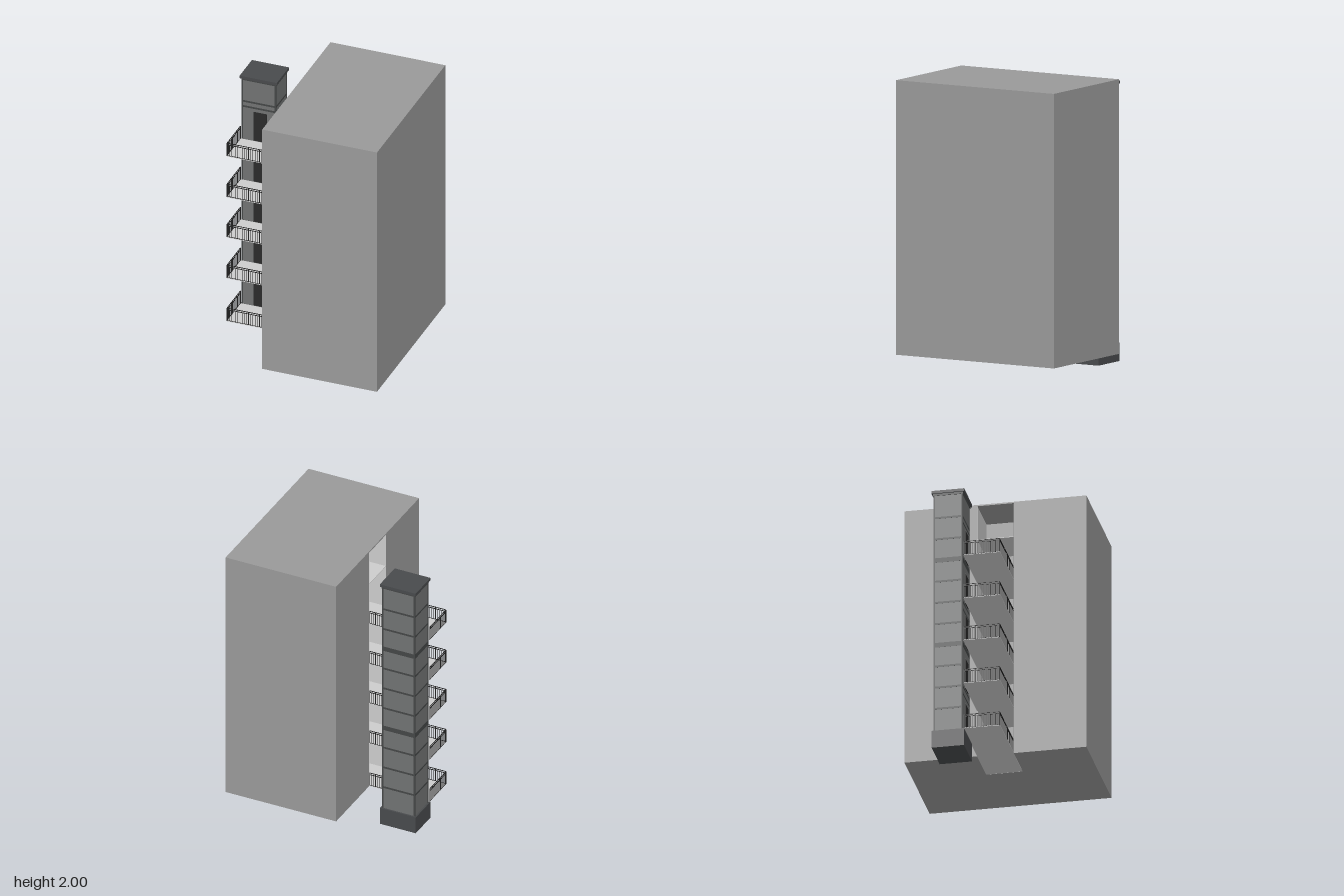
import * as THREE from 'three';

const mat = (color) => new THREE.MeshStandardMaterial({ color, flatShading: true });
const M = {
  block: mat(0x999999), light: mat(0xcccccc), wall: mat(0x707272),
  trim: mat(0x444646), base: mat(0x484a4c), door: mat(0x2a2a2a), rail: mat(0x222222),
};

// Box given by its minimum and maximum corners
function box(parent, name, m, x0, x1, y0, y1, z0, z1) {
  const mesh = new THREE.Mesh(new THREE.BoxGeometry(x1 - x0, y1 - y0, z1 - z0), m);
  mesh.position.set((x0 + x1) / 2, (y0 + y1) / 2, (z0 + z1) / 2);
  mesh.name = name;
  parent.add(mesh);
  return mesh;
}

const FLOORS = [0.128, 0.465, 0.785, 1.1, 1.42];
const FACE = -0.19, RECESS = 0.11, HALF = 0.127;

// Main building: plan with a lobby recess, closed by a roof
function building() {
  const g = new THREE.Group();
  g.name = 'building';
  const plan = new THREE.Shape([
    [FACE, -0.628], [0.645, -0.628], [0.645, 0.628], [FACE, 0.628],
    [FACE, HALF], [RECESS, HALF], [RECESS, -HALF], [FACE, -HALF],
  ].map(([x, y]) => new THREE.Vector2(x, y)));
  const geo = new THREE.ExtrudeGeometry(plan, { depth: 1.865, bevelEnabled: false });
  geo.rotateX(-Math.PI / 2);
  const walls = new THREE.Mesh(geo, M.block);
  walls.position.y = 0.125;
  walls.name = 'buildingWalls';
  g.add(walls);
  box(g, 'roof', M.block, FACE, 0.645, 1.99, 2, -0.628, 0.628);
  // Pale lobby lining and floors
  for (const s of [-1, 1]) {
    const z = s * (HALF - 0.002);
    box(g, 'lobbySideWall', M.light, FACE, RECESS, 0.126, 1.99, z - 0.001, z + 0.001);
  }
  for (const y of [...FLOORS, 1.74])
    box(g, 'lobbyFloor', M.light, FACE, RECESS, y - 0.002, y + 0.002, -HALF + 0.003, HALF - 0.003);
  return g;
}

// Railing between two plan points: balusters, taller posts and two rails
function railing(parent, ax, az, bx, bz) {
  const g = new THREE.Group();
  g.name = 'railing';
  const len = Math.hypot(bx - ax, bz - az);
  g.position.set(ax, 0, az);
  g.rotation.y = -Math.atan2(bz - az, bx - ax);
  const t = 0.0012;
  const n = Math.round(len / 0.0155);
  for (let i = 0; i <= n; i++) {
    const x = (len * i) / n, post = i % 5 === 0 || i === n;
    const w = post ? 0.002 : t;
    box(g, post ? 'post' : 'baluster', M.rail, x - w, x + w, 0, post ? 0.1 : 0.087, -w, w);
  }
  for (const y of [0.087, 0.1])
    box(g, 'handrail', M.rail, 0, len, y - 0.002, y + 0.002, -0.002, 0.002);
  box(g, 'bottomRail', M.rail, 0, len, 0.002, 0.005, -0.0015, 0.0015);
  parent.add(g);
}

// Walkway linking the tower door to the building
function walkway(y) {
  const g = new THREE.Group();
  g.name = 'walkway';
  g.position.y = y;
  const x0 = -0.645, z = 0.123;
  box(g, 'walkwaySlab', M.light, x0, FACE, -0.002, 0.002, -HALF, HALF);
  railing(g, x0, z, FACE, z);
  railing(g, x0, -z, x0, z);
  railing(g, -0.385, -z, FACE, -z);
  return g;
}

function tower() {
  const g = new THREE.Group();
  g.name = 'liftTower';
  const x0 = -0.64, x1 = -0.39, z0 = -0.335, z1 = -0.133;
  box(g, 'towerBase', M.base, -0.65, -0.38, 0, 0.126, -0.345, -0.121);
  box(g, 'towerShaft', M.wall, x0 + 0.002, x1 - 0.002, 0.126, 1.895, z0 + 0.002, z1 - 0.002);
  box(g, 'towerCap', M.base, -0.65, -0.38, 1.895, 1.915, -0.347, -0.121);
  box(g, 'capMoulding', M.trim, x0 - 0.002, x1 + 0.002, 1.88, 1.895, z0 - 0.002, z1 + 0.002);
  // Corner posts
  for (const x of [x0, x1 - 0.01])
    for (const z of [z0, z1 - 0.01])
      box(g, 'cornerPost', M.trim, x, x + 0.01, 0.126, 1.895, z, z + 0.01);
  // Panel bands; those level with a door stop short of the front
  for (let k = 1; k <= 10; k++) {
    const y = 0.135 + 0.158 * k;
    const h = k === 4 || k === 8 ? 0.017 : 0.007;
    const front = k % 2 ? z1 - 0.003 : z1 - 0.001;
    box(g, 'panelBand', M.trim, x0 + 0.001, x1 - 0.001, y - h, y + h, z0 + 0.001, front);
  }
  for (const y of [0.4, 1.03, 1.675])
    box(g, 'frontBand', M.trim, x0 + 0.001, x1 - 0.001, y - 0.007, y + 0.007, z1 - 0.01, z1 - 0.001);
  // Landing doors
  for (const y of FLOORS)
    box(g, 'landingDoor', M.door, -0.552, -0.458, y + 0.002, y + 0.225, z1 - 0.01, z1 + 0.002);
  return g;
}

export function createModel() {
  const model = new THREE.Group();
  model.name = 'buildingWithLiftTower';
  model.add(building(), tower());
  for (const y of FLOORS) model.add(walkway(y));
  return model;
}
